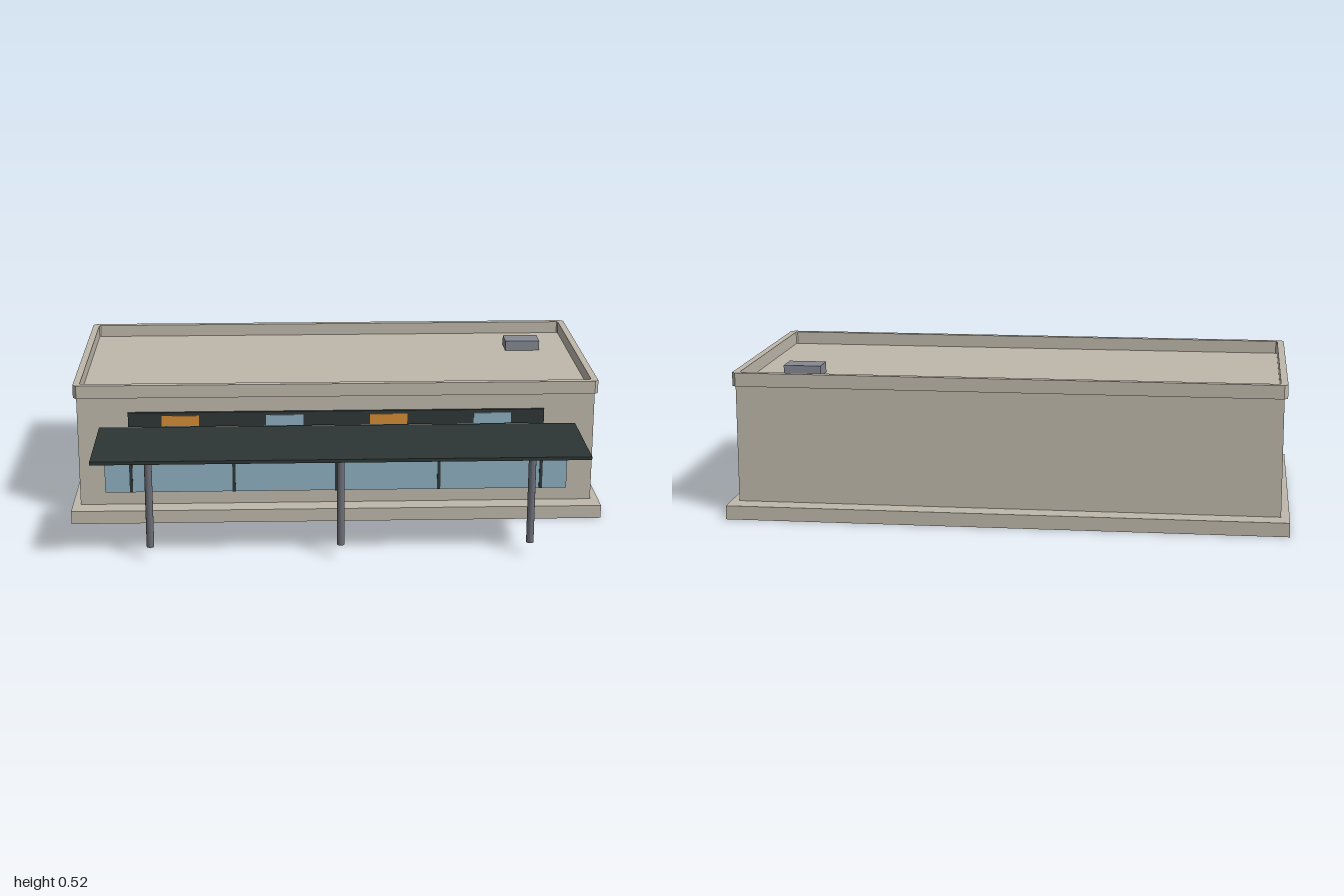
import * as THREE from 'three';

const mat = (name, color) => {
  const m = new THREE.MeshStandardMaterial({ color });
  m.name = name;
  return m;
};

export function createModel() {
  const model = new THREE.Group();
  model.name = 'pavilion';
  const plaster = mat('plaster', 0xbfb9ac);
  const glass = mat('glass', 0x8fb0c1);
  const charcoal = mat('charcoal', 0x2d3635);
  const orange = mat('orange', 0xd58d35);
  const steel = mat('steel', 0x6c6e77);
  const ventGrey = mat('ventGrey', 0x868993);

  // Box given by its min and max corners
  const box = (name, material, x0, x1, y0, y1, z0, z1) => {
    const mesh = new THREE.Mesh(new THREE.BoxGeometry(x1 - x0, y1 - y0, z1 - z0), material);
    mesh.position.set((x0 + x1) / 2, (y0 + y1) / 2, (z0 + z1) / 2);
    mesh.name = name;
    model.add(mesh);
    return mesh;
  };

  // Plinth and main block, whose top is the roof deck
  box('plinth', plaster, -1, 1, 0, 0.05, -0.74, 0.285);
  box('walls', plaster, -0.97, 0.97, 0.05, 0.475, -0.665, 0.21);

  // Parapet ring with clipped corners
  const clipped = (hx, hz, c) => [
    [hx - c, -hz], [hx, c - hz], [hx, hz - c], [hx - c, hz],
    [c - hx, hz], [-hx, hz - c], [-hx, c - hz], [c - hx, -hz],
  ].map(([x, y]) => new THREE.Vector2(x, y));
  const ring = new THREE.Shape(clipped(0.982, 0.4485, 0.013));
  ring.holes.push(new THREE.Path(clipped(0.957, 0.4235, 0.005)));
  const parapetGeometry = new THREE.ExtrudeGeometry(ring, { depth: 0.049, bevelEnabled: false });
  parapetGeometry.rotateX(-Math.PI / 2);
  const parapet = new THREE.Mesh(parapetGeometry, plaster);
  parapet.position.set(0, 0.473, -0.2275);
  parapet.name = 'parapet';
  model.add(parapet);

  // Rooftop vent unit
  box('roofVent', ventGrey, 0.705, 0.842, 0.475, 0.514, -0.472, -0.38);

  // Shopfront glazing and mullions
  box('window', glass, -0.875, 0.875, 0.1, 0.33, 0.209, 0.218);
  for (const x of [-0.776, -0.388, 0, 0.388, 0.776]) {
    box('mullion', charcoal, x - 0.006, x + 0.006, 0.1, 0.33, 0.212, 0.2215);
  }

  // Fascia band with coloured panels
  box('fascia', charcoal, -0.78, 0.78, 0.36, 0.415, 0.209, 0.22);
  [-0.585, -0.195, 0.195, 0.585].forEach((x, i) => {
    box('fasciaPanel', i % 2 ? glass : orange, x - 0.07, x + 0.07, 0.363, 0.403, 0.215, 0.223);
  });

  // Free-standing canopy on round posts
  box('canopy', charcoal, -0.875, 0.875, 0.391, 0.403, 0.355, 0.74);
  for (const x of [-0.68, 0, 0.68]) {
    const post = new THREE.Mesh(new THREE.CylinderGeometry(0.0135, 0.0135, 0.343, 12), steel);
    post.position.set(x, 0.2215, 0.647);
    post.name = 'canopyPost';
    model.add(post);
  }
  return model;
}
